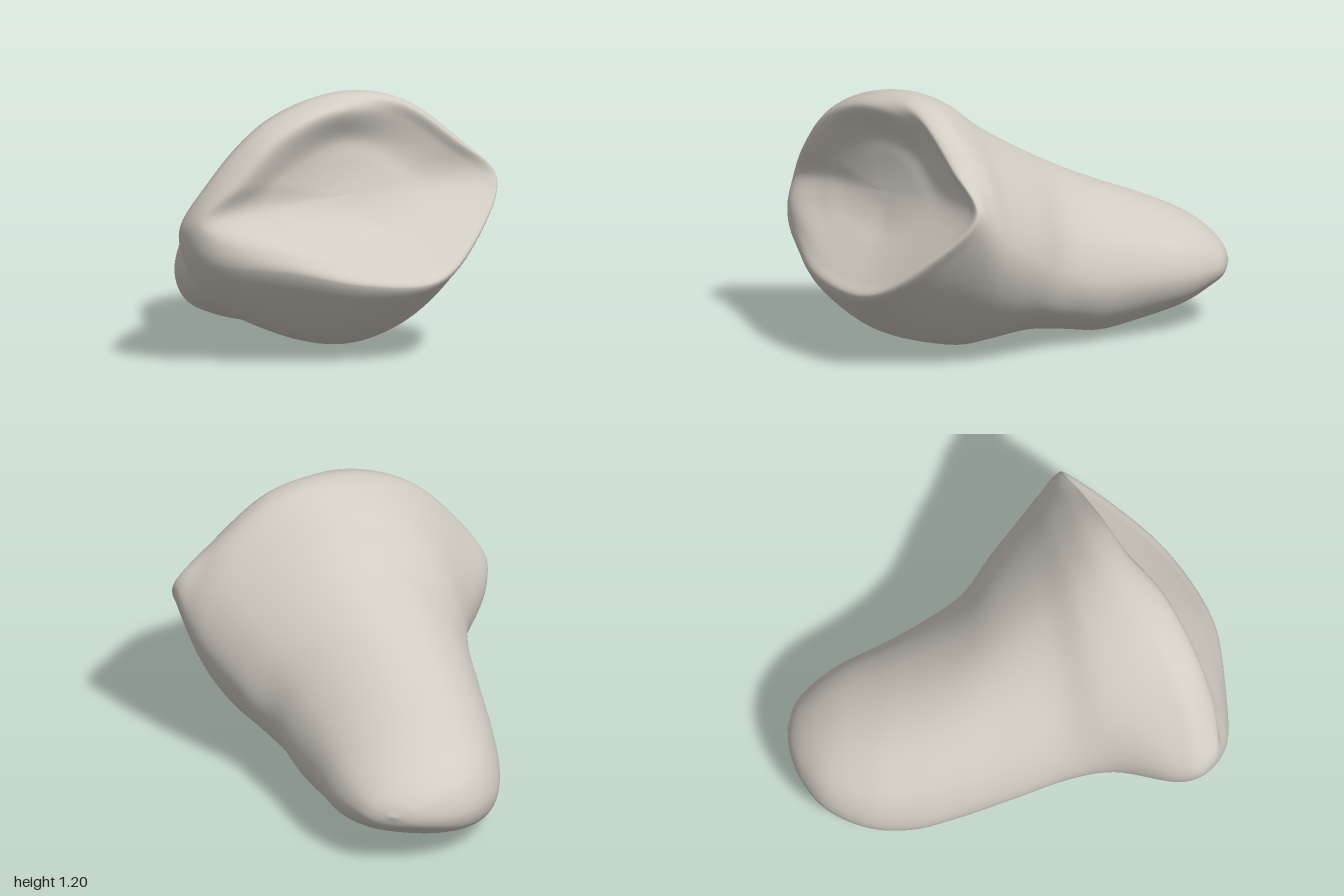
import * as THREE from 'three';
import { mergeVertices } from 'three/addons/utils/BufferGeometryUtils.js';

const V = (x, y, z) => new THREE.Vector3(x, y, z);
const N = 12; // control points per ring, from the right side over the top
const ring = (points) => points.map((p) => V(...p));

// Shaft section: left x,z,y / right x,z,y / top y / bottom y /
// roundness exponents of upper left, lower left and right
function section([lx, lz, ly, rx, rz, ry, top, bottom, eUL, eLL, eR]) {
  return Array.from({ length: N }, (_, i) => {
    const a = (i / N) * Math.PI * 2;
    const e = Math.cos(a) > 0 ? eR : Math.sin(a) > 0 ? eUL : eLL;
    const soft = (v) => Math.sign(v) * Math.pow(Math.abs(v), e);
    const t = (1 + soft(Math.cos(a))) / 2;
    const s = soft(Math.sin(a));
    const mid = ly + (ry - ly) * t;
    const y = mid + (s > 0 ? s * (top - mid) : s * (mid - bottom));
    return V(lx + (rx - lx) * t, y, lz + (rz - lz) * t);
  });
}

// Smooth skin through a list of control rings
function loft(rings, around, steps) {
  const fine = rings.map((r) => {
    const curve = new THREE.CatmullRomCurve3(r, true, 'centripetal');
    return Array.from({ length: around }, (_, j) => curve.getPoint(j / around));
  });
  const rows = (rings.length - 1) * steps;
  const pos = new Float32Array((rows + 1) * around * 3);
  const index = [];
  for (let j = 0; j < around; j++) {
    const column = new THREE.CatmullRomCurve3(fine.map((r) => r[j]), false, 'centripetal');
    for (let i = 0; i <= rows; i++) column.getPoint(i / rows).toArray(pos, (i * around + j) * 3);
  }
  for (let i = 0; i < rows; i++) {
    for (let j = 0; j < around; j++) {
      const a = i * around + j, b = i * around + ((j + 1) % around);
      const c = b + around, d = a + around;
      if (i > 0) index.push(a, b, c);
      if (i < rows - 1) index.push(a, c, d);
    }
  }
  let g = new THREE.BufferGeometry();
  g.setAttribute('position', new THREE.BufferAttribute(pos, 3));
  g.setIndex(index);
  g = mergeVertices(g, 1e-5);
  g.computeVertexNormals();
  return g;
}

export function createModel() {
  const group = new THREE.Group();
  const bone = new THREE.MeshStandardMaterial({ color: 0xd2cdc3 });
  bone.name = 'bone';

  // Rounded shaft, widening toward the socket
  const shaft = [
    [-0.48, -0.98, 0.27, -0.25, -0.975, 0.27, 0.34, 0.22, 0.95, 0.9, 0.95],
    [-0.60, -0.92, 0.25, -0.16, -0.91, 0.27, 0.41, 0.17, 0.95, 0.82, 0.95],
    [-0.72, -0.80, 0.24, -0.06, -0.80, 0.27, 0.49, 0.10, 0.98, 0.76, 0.95],
    [-0.785, -0.60, 0.22, 0.06, -0.60, 0.28, 0.58, 0.035, 1.02, 0.72, 0.98],
    [-0.775, -0.40, 0.22, 0.18, -0.42, 0.30, 0.66, 0, 1.06, 0.74, 1.0],
    [-0.72, -0.20, 0.26, 0.29, -0.27, 0.36, 0.75, 0.025, 1.1, 0.82, 1.0],
    [-0.63, 0.05, 0.33, 0.45, -0.16, 0.46, 0.87, 0.05, 1.12, 0.92, 1.05],
    [-0.54, 0.30, 0.42, 0.62, -0.03, 0.57, 1.01, 0.03, 1.12, 1.0, 1.12],
    [-0.51, 0.50, 0.50, 0.71, 0.05, 0.67, 1.13, 0.015, 1.08, 1.0, 1.17],
  ].map(section);

  // Swollen head just behind the rim
  const head = ring([
    [0.77, 0.76, 0.11], [0.62, 0.955, 0.19], [0.375, 1.145, 0.3], [0.13, 1.195, 0.43],
    [-0.19, 1.08, 0.62], [-0.44, 0.8, 0.75], [-0.555, 0.56, 0.79], [-0.45, 0.32, 0.82],
    [-0.1, 0.14, 0.7], [0.21, 0.11, 0.6], [0.53, 0.27, 0.49], [0.72, 0.52, 0.28],
  ]);

  // Rim: rounded at the top and left, tighter along the lower lip
  const rim = ring([
    [0.785, 0.78, 0.14], [0.62, 0.955, 0.25], [0.385, 1.145, 0.4], [0.13, 1.185, 0.55],
    [-0.17, 1.075, 0.74], [-0.4, 0.83, 0.86], [-0.535, 0.6, 0.89], [-0.39, 0.48, 0.975],
    [0, 0.43, 0.945], [0.3, 0.37, 0.86], [0.6, 0.36, 0.63], [0.735, 0.53, 0.38],
  ]);

  // Shoulder turning over into the socket
  const shoulder = ring([
    [0.72, 0.77, 0.18], [0.565, 0.925, 0.265], [0.36, 1.085, 0.41], [0.14, 1.13, 0.64],
    [-0.1, 1.02, 0.82], [-0.28, 0.82, 0.925], [-0.42, 0.66, 0.965], [-0.3, 0.575, 0.985],
    [0.02, 0.5, 0.91], [0.28, 0.43, 0.825], [0.56, 0.41, 0.61], [0.68, 0.56, 0.385],
  ]);

  // Shallow bowl, flattening toward its floor
  const bowl = ring([
    [0.5, 0.76, 0.31], [0.4, 0.86, 0.35], [0.3, 0.95, 0.41], [0.15, 0.99, 0.54],
    [0, 0.92, 0.68], [-0.12, 0.82, 0.78], [-0.18, 0.71, 0.82], [-0.1, 0.63, 0.83],
    [0.05, 0.57, 0.8], [0.23, 0.54, 0.71], [0.41, 0.54, 0.57], [0.48, 0.64, 0.42],
  ]);
  const centre = V(0.16, 0.74, 0.57);
  const normal = V(0.55, 0.28, 0.78).normalize();
  const floor = [0.65, 0.3, 0].map((s) => bowl.map((p) => {
    const offset = p.clone().sub(centre);
    const h = offset.dot(normal);
    return offset.addScaledVector(normal, -h).multiplyScalar(s)
      .addScaledVector(normal, h * s * s).add(centre);
  }));

  const tip = Array.from({ length: N }, () => V(-0.37, 0.28, -1));
  const rings = [tip, ...shaft, head, rim, shoulder, bowl, ...floor];
  const body = new THREE.Mesh(loft(rings, 96, 8), bone);
  body.name = 'boneBody';
  group.add(body);
  return group;
}
